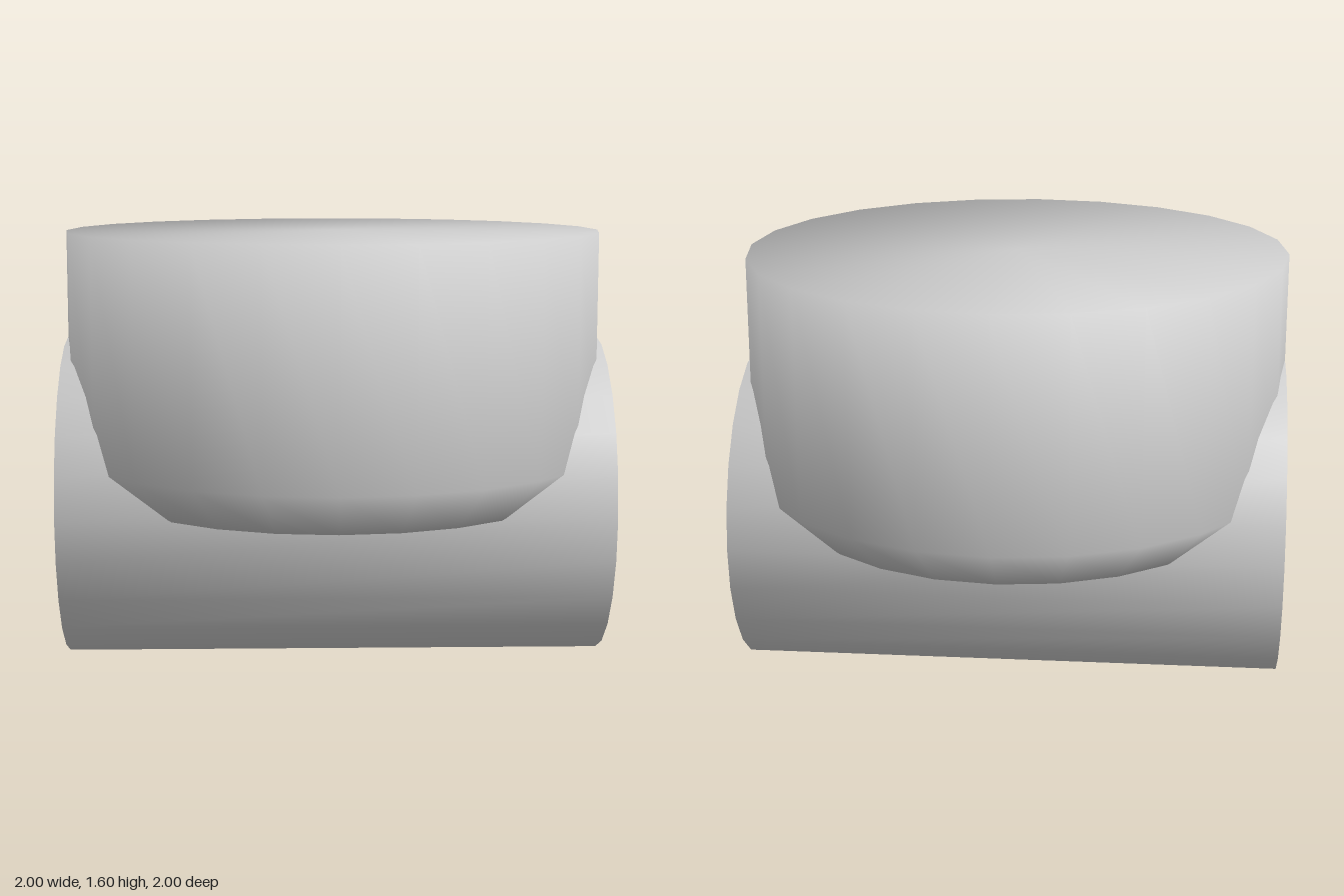
import * as THREE from 'three';

const material = new THREE.MeshStandardMaterial({ color: 0xcccccc });

// Solid of revolution with softly blended rims, from [radius, height] pairs.
function turned(name, profile) {
  const points = profile.map(([r, h]) => new THREE.Vector2(r, h));
  const mesh = new THREE.Mesh(new THREE.LatheGeometry(points, 24), material);
  mesh.name = name;
  return mesh;
}

export function createModel() {
  const model = new THREE.Group();
  model.name = 'crossedCylinders';

  // Upright drum with a chamfered lower rim
  const drum = turned('uprightDrum', [[0, 0.6], [0.84, 0.6], [1, 0.76], [1, 1.6], [0, 1.6]]);

  // Horizontal barrel lying along x, half sunk into the drum
  const barrel = turned('horizontalBarrel', [[0, -1], [0.6, -1], [0.6, 1], [0, 1]]);
  barrel.rotation.z = Math.PI / 2;
  barrel.position.y = 0.6;

  model.add(drum, barrel);
  return model;
}
